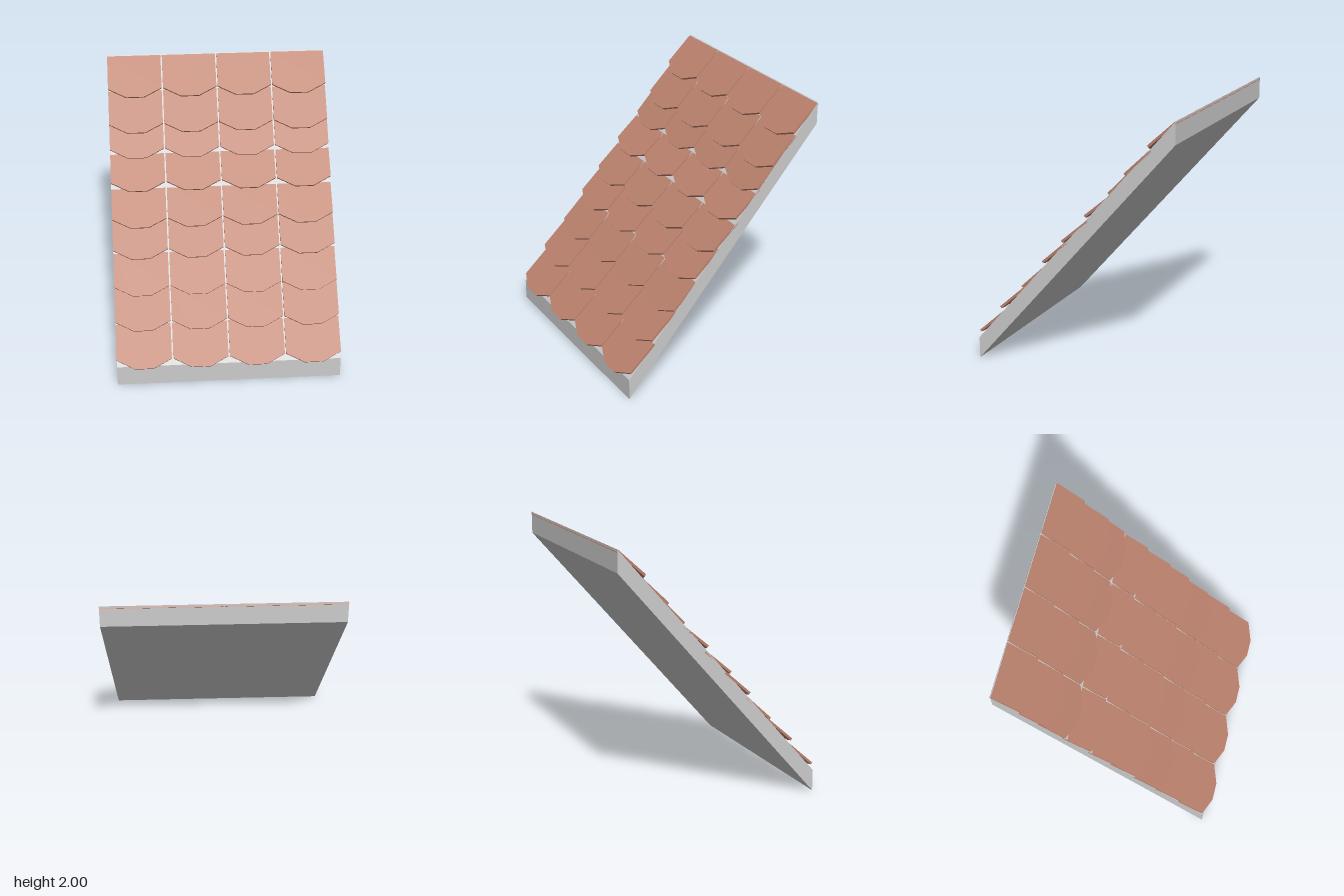
import * as THREE from 'three';

const HALF_WIDTH = 0.85;
const TILE = { width: 0.417, length: 0.345, cut: 0.072, flat: 0.14, thickness: 0.018 };
const COLUMNS = 4;

// Each course of tiles: z and y of its lower lip, and its tilt in degrees
const COURSES = [
  [0.817, 0.165, 42], [0.635, 0.385, 42], [0.447, 0.575, 43.4],
  [0.273, 0.795, 42], [0.115, 0.975, 41], [-0.07, 1.19, 40.5],
  [-0.262, 1.375, 46], [-0.383, 1.53, 44], [-0.558, 1.75, 42.5],
];

// Sloping slab: a parallelogram side profile extruded across the width
function createSlab() {
  const profile = new THREE.Shape([
    new THREE.Vector2(-0.77, 0),
    new THREE.Vector2(0.82, 1.835),
    new THREE.Vector2(0.82, 2),
    new THREE.Vector2(-0.77, 0.165),
  ]);
  const geometry = new THREE.ExtrudeGeometry(profile, { depth: 2 * HALF_WIDTH, bevelEnabled: false });
  geometry.translate(0, 0, -HALF_WIDTH).rotateY(Math.PI / 2);
  const slab = new THREE.Mesh(geometry, new THREE.MeshStandardMaterial({ color: 0xcccccc }));
  slab.name = 'roofSlab';
  return slab;
}

// Flat tile with a lower edge clipped at both corners
function createTileGeometry() {
  const { width, length, cut, flat, thickness } = TILE;
  const outline = new THREE.Shape();
  outline.moveTo(-flat / 2, 0);
  outline.lineTo(flat / 2, 0);
  outline.lineTo(width / 2, cut);
  outline.lineTo(width / 2, length);
  outline.lineTo(-width / 2, length);
  outline.lineTo(-width / 2, cut);
  outline.closePath();
  return new THREE.ExtrudeGeometry(outline, { depth: thickness, bevelEnabled: false });
}

export function createModel() {
  const model = new THREE.Group();
  model.name = 'tiledRoof';
  model.add(createSlab());

  const geometry = createTileGeometry();
  const clay = new THREE.MeshStandardMaterial({ color: 0xbc826e });
  const pitch = (2 * HALF_WIDTH - TILE.width) / (COLUMNS - 1);

  // Overlapping courses, from the eave up to the ridge
  COURSES.forEach(([z, y, degrees], row) => {
    const tilt = THREE.MathUtils.degToRad(degrees);
    const course = new THREE.Group();
    course.name = `tileCourse${row + 1}`;
    course.position.set(0, y, z - TILE.thickness * Math.sin(tilt));
    course.rotation.x = tilt - Math.PI / 2;
    for (let i = 0; i < COLUMNS; i++) {
      const tile = new THREE.Mesh(geometry, clay);
      tile.name = 'roofTile';
      tile.position.x = (i - (COLUMNS - 1) / 2) * pitch;
      course.add(tile);
    }
    model.add(course);
  });
  return model;
}
